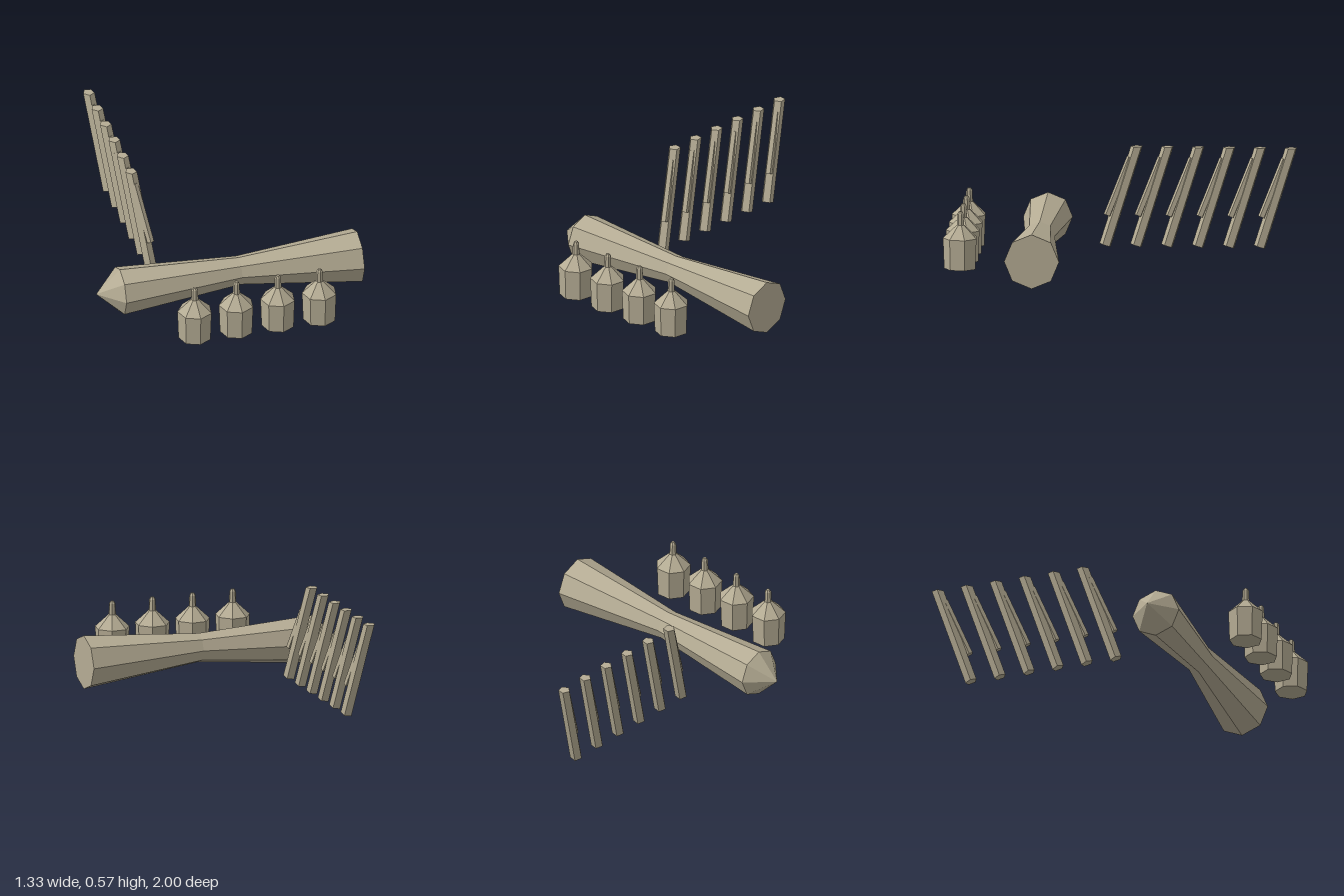
import * as THREE from 'three';

const material = new THREE.MeshStandardMaterial({ color: 0xb5ac94, flatShading: true });

function part(name, geometry) {
  const mesh = new THREE.Mesh(geometry, material);
  mesh.name = name;
  return mesh;
}

function lathe(profile, sides) {
  return new THREE.LatheGeometry(profile.map(([r, y]) => new THREE.Vector2(r, y)), sides);
}

// Five-sided rod between two points, with a ridge towards the back
function rod(from, to, rBottom, rTop) {
  const axis = to.clone().sub(from);
  const geometry = new THREE.CylinderGeometry(rTop, rBottom, axis.length(), 5);
  geometry.rotateY(Math.PI);
  geometry.applyQuaternion(new THREE.Quaternion().setFromUnitVectors(
    new THREE.Vector3(0, 1, 0), axis.clone().normalize()));
  const mid = from.clone().lerp(to, 0.5);
  return geometry.translate(mid.x, mid.y, mid.z);
}

// Waisted octagonal bar: pointed at one end, flat at the other
function createBar() {
  const half = 0.658;
  const geometry = lathe([
    [0, -half - 0.132], [0.132, -half], [0.079, 0], [0.147, half], [0, half],
  ], 8);
  geometry.rotateZ(-Math.PI / 2);
  const p = geometry.attributes.position;
  for (let i = 0; i < p.count; i++) {
    if (Math.abs(p.getX(i)) < 0.01) p.setY(i, p.getY(i) + 0.017); // raised waist
  }
  geometry.rotateY(-Math.atan2(0.65, 1.145));
  geometry.translate(0.017, 0.15, 0.4);
  return part('bar', geometry);
}

// Leaning post with a slimmer strut on its front, top cut level
function createPost() {
  const post = new THREE.Group();
  const bottom = new THREE.Vector3(-0.165, 0.048, -0.076);
  const top = new THREE.Vector3(-0.14, 0.575, -0.251);
  const geometry = rod(bottom, top, 0.033, 0.032);
  const dir = top.clone().sub(bottom).normalize();
  const p = geometry.attributes.position;
  const v = new THREE.Vector3();
  for (let i = 0; i < p.count; i++) {
    v.fromBufferAttribute(p, i);
    if (v.y > 0.4) v.addScaledVector(dir, (top.y - v.y) / dir.y);
    p.setXYZ(i, v.x, v.y, v.z);
  }
  post.add(part('postShaft', geometry));
  post.add(part('postStrut', rod(
    new THREE.Vector3(-0.16, 0.21, -0.084),
    new THREE.Vector3(-0.149, 0.515, -0.216), 0.02, 0.02)));
  return post;
}

export function createModel() {
  const model = new THREE.Group();
  model.name = 'model';
  model.add(createBar());

  // Row of seven-sided bottles with a spout
  const bottle = lathe([
    [0, 0.05], [0.088, 0.05], [0.094, 0.215], [0.02, 0.285],
    [0.017, 0.345], [0.009, 0.358], [0, 0.358],
  ], 7).rotateY(Math.PI);
  for (let i = 0; i < 4; i++) {
    const mesh = part('bottle' + (i + 1), bottle);
    mesh.position.set(-0.49 + i * 0.2, 0, 0.572 + i * 0.114);
    model.add(mesh);
  }

  // Receding row of posts
  for (let i = 0; i < 6; i++) {
    const post = createPost();
    post.name = 'post' + (i + 1);
    post.position.set(i * 0.0815, 0, i * -0.1435);
    model.add(post);
  }
  return model;
}
